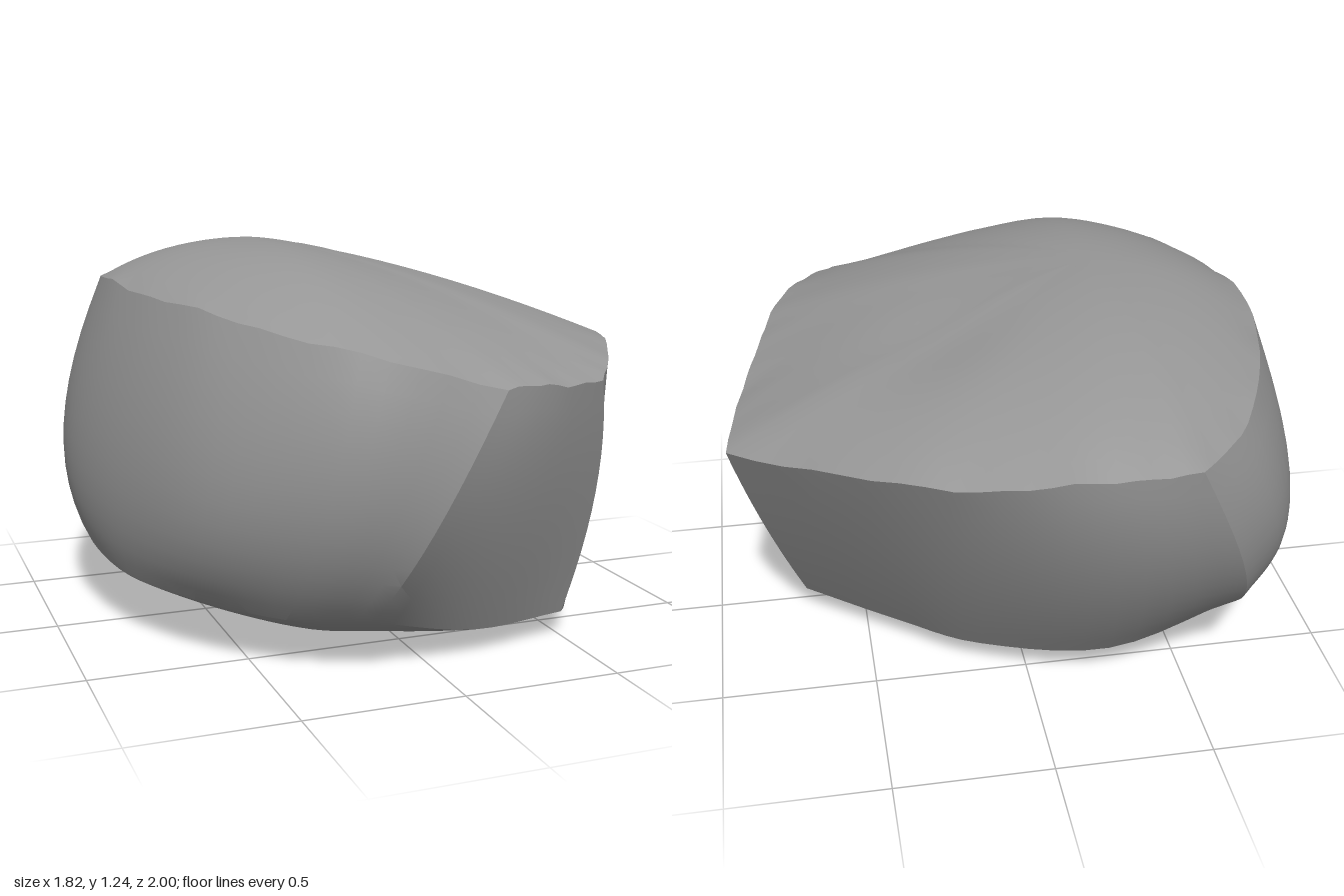
import * as THREE from 'three';
import { toCreasedNormals } from 'three/addons/utils/BufferGeometryUtils.js';

// Three outlines around the boulder, from the back right corner past the front: x, y, z
const TOP_RIM = [
  .905, .89, -.45, .86, .9, -.13, .79, .92, .18, .725, .94, .45, .585, .92, .74, .48, .87, .89,
  .3, .88, .95, .12, .89, .99, -.28, .99, .89, -.55, 1.06, .61, -.72, 1.1, .26, -.78, 1.12, -.1,
  -.73, 1.09, -.45, -.59, 1.04, -.78, -.4, 1.01, -.99, -.15, 1.02, -1, .15, .99, -.95, .5, .96, -.79];
const WAIST = [
  .815, .5, -.28, .77, .5, 0, .72, .5, .2, .66, .5, .42, .6, .5, .62, .54, .5, .77,
  .22, .48, .88, -.09, .48, .965, -.38, .53, .885, -.66, .55, .64, -.83, .58, .28, -.91, .6, -.1,
  -.88, .6, -.43, -.77, .6, -.7, -.6, .56, -.86, -.2, .6, -.9, .17, .58, -.77, .48, .53, -.55];
const BOTTOM_RIM = [
  .7, .11, -.1, .7, .09, .1, .66, .07, .3, .6, .06, .48, .55, .07, .58, .5, .08, .65,
  .15, .09, .73, -.2, .17, .77, -.43, .17, .66, -.65, .19, .44, -.8, .21, .19, -.86, .25, -.08,
  -.83, .27, -.3, -.77, .27, -.46, -.67, .24, -.58, -.25, .14, -.63, .15, .11, -.5, .4, .1, -.32];
const CORNERS = [0, 5, 7, 14]; // stations where two side faces meet in an edge
const STEPS = 5;
const CROWN = new THREE.Vector3(-.3, 1.24, 0);
const BASE = new THREE.Vector3(-.05, 0, .25);

// Closed smooth loop through the stations, kinked at the corners
function outline(numbers) {
  const n = numbers.length / 3;
  const at = i => new THREE.Vector3().fromArray(numbers, ((i + n) % n) * 3);
  const tangent = (i, side) => {
    if (!CORNERS.includes(i % n)) return at(i + 1).sub(at(i - 1)).multiplyScalar(.5);
    return side > 0 ? at(i + 1).sub(at(i)) : at(i).sub(at(i - 1));
  };
  const points = [];
  for (let i = 0; i < n; i++) {
    for (let k = 0; k < STEPS; k++) {
      const t = k / STEPS, t2 = t * t, t3 = t2 * t;
      points.push(at(i).multiplyScalar(2 * t3 - 3 * t2 + 1)
        .addScaledVector(tangent(i, 1), t3 - 2 * t2 + t)
        .addScaledVector(at(i + 1), 3 * t2 - 2 * t3)
        .addScaledVector(tangent(i + 1, -1), t3 - t2));
    }
  }
  return points;
}

// Cap point: t runs from 0 at the centre to 1 at the rim;
// the cap is flatter (lower power) towards +x
function capPoint(centre, rim, t, roundPower, flatPower) {
  const p = centre.clone().lerp(rim, t);
  const angle = Math.atan2(rim.z - centre.z, rim.x - centre.x);
  const flat = THREE.MathUtils.smoothstep(Math.cos(angle), 0, 1);
  const power = THREE.MathUtils.lerp(roundPower, flatPower, flat);
  p.y = centre.y + (rim.y - centre.y) * Math.pow(t, power);
  return p;
}

// Small chips along the upper edge
const chip = i => .004 * Math.sin(i * 1.9) + .005 * Math.sin(i * .83);

function boulderGeometry() {
  const top = outline(TOP_RIM), waist = outline(WAIST), bottom = outline(BOTTOM_RIM);
  const rows = [];
  const CAP = 14, SIDE = 12;
  // Domed top with a shallow dent
  for (let r = 0; r < CAP; r++) {
    const t = r / CAP;
    rows.push(top.map((rim, i) => {
      const p = capPoint(CROWN, rim, t, 2.3, 1.45);
      const d2 = (p.x - .28) ** 2 + (p.z + .25) ** 2;
      p.y += chip(i) * t ** 16 - .04 * Math.exp(-d2 / .05) * (1 - t * t);
      return p;
    }));
  }
  // Bulging sides, passing through the waist
  for (let r = 0; r <= SIDE; r++) {
    const t = r / SIDE;
    rows.push(top.map((rim, i) => {
      const p = rim.clone().multiplyScalar((1 - t) * (1 - 2 * t))
        .addScaledVector(waist[i], 4 * t * (1 - t))
        .addScaledVector(bottom[i], t * (2 * t - 1));
      p.y += chip(i) * (1 - t) ** 8;
      return p;
    }));
  }
  // Shallow rounded underside
  for (let r = CAP - 1; r >= 0; r--) {
    rows.push(bottom.map(rim => capPoint(BASE, rim, r / CAP, 1.9, 1.5)));
  }

  const cols = top.length, index = [];
  for (let r = 0; r < rows.length - 1; r++) {
    for (let c = 0; c < cols; c++) {
      const a = r * cols + c, b = r * cols + (c + 1) % cols, d = a + cols, e = b + cols;
      if (r > 0) index.push(a, b, d);
      if (r < rows.length - 2) index.push(b, e, d);
    }
  }
  const geometry = new THREE.BufferGeometry();
  geometry.setFromPoints(rows.flat());
  geometry.setIndex(index);
  return toCreasedNormals(geometry, .42);
}

export function createModel() {
  const group = new THREE.Group();
  group.name = 'rock';
  const boulder = new THREE.Mesh(boulderGeometry(), new THREE.MeshStandardMaterial({ color: 0x969696 }));
  boulder.name = 'boulder';
  group.add(boulder);
  return group;
}
